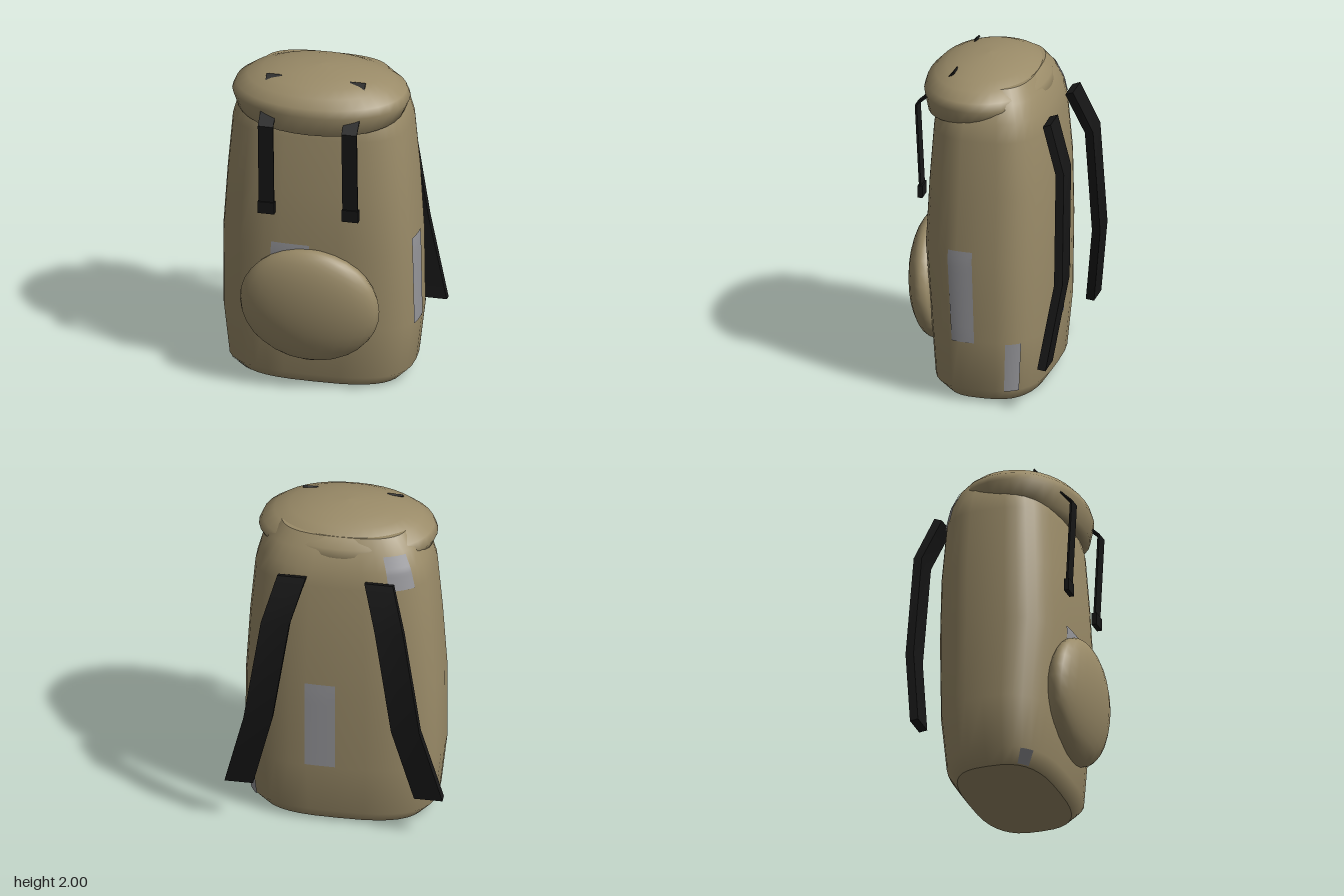
import * as THREE from 'three';
import { toCreasedNormals } from 'three/addons/utils/BufferGeometryUtils.js';

const CANVAS = 0x9a8b68, BLACK = 0x161616, GREY = 0x96969a;

// Surface from a grid of points; fn(row, column) returns [x, y, z].
function gridGeometry(rows, cols, closed, fn) {
  const pos = [], index = [];
  for (let i = 0; i < rows; i++) for (let j = 0; j < cols; j++) pos.push(...fn(i, j));
  for (let i = 0; i < rows - 1; i++) {
    for (let j = 0; j < (closed ? cols : cols - 1); j++) {
      const a = i * cols + j, b = i * cols + (j + 1) % cols;
      index.push(a, a + cols, b, b, a + cols, b + cols);
    }
  }
  const g = new THREE.BufferGeometry();
  g.setAttribute('position', new THREE.Float32BufferAttribute(pos, 3));
  g.setIndex(index);
  g.computeVertexNormals();
  return g;
}

function addMesh(group, name, geometry, color) {
  const mesh = new THREE.Mesh(geometry, new THREE.MeshStandardMaterial({ color, side: THREE.DoubleSide }));
  mesh.name = name;
  group.add(mesh);
  return mesh;
}

// Rounded-rectangle (superellipse) outline; angle 0 is +x, 90 degrees is +z.
function outline(t, n) {
  const f = (v) => Math.sign(v) * Math.abs(v) ** (2 / n);
  return [f(Math.cos(t)), f(Math.sin(t))];
}

// Body sections: height, half width, front z, back z.
const BODY = [
  [0, 0.48, 0.26, -0.30], [0.08, 0.555, 0.33, -0.355], [0.4, 0.59, 0.35, -0.385],
  [0.9, 0.585, 0.39, -0.395], [1.3, 0.56, 0.37, -0.39], [1.64, 0.53, 0.345, -0.362],
  [1.75, 0.5, 0.32, -0.34], [1.85, 0.45, 0.28, -0.295], [1.925, 0.38, 0.22, -0.24],
];

function bodyPoint(t, y, offset = 0) {
  let k = 0;
  while (k < BODY.length - 2 && y > BODY[k + 1][0]) k++;
  const a = BODY[k], b = BODY[k + 1], f = (y - a[0]) / (b[0] - a[0]);
  const [hx, zf, zb] = [1, 2, 3].map((i) => a[i] + (b[i] - a[i]) * f);
  const [x, z] = outline(t, 2.9);
  return [x * (hx + offset), y, (zf + zb) / 2 + z * ((zf - zb) / 2 + offset)];
}

// Flat strap swept along points [x, y, z], with closed ends.
function strapGeometry(path, width, thickness) {
  const corners = [[1, 1], [1, -1], [-1, -1], [-1, 1]];
  const last = path.length - 1;
  const g = gridGeometry(path.length + 2, 4, true, (i, j) => {
    const k = Math.min(Math.max(i - 1, 0), last);
    const p = path[k];
    if (i === 0 || i === last + 2) return p;
    const a = path[Math.max(k - 1, 0)], b = path[Math.min(k + 1, last)];
    const dy = b[1] - a[1], dz = b[2] - a[2], l = Math.hypot(dy, dz);
    const [u, v] = corners[j];
    const h = v * thickness / 2;
    return [p[0] + u * width / 2, p[1] + h * dz / l, p[2] - h * dy / l];
  });
  return toCreasedNormals(g, 0.6);
}

export function createModel() {
  const model = new THREE.Group();
  model.name = 'backpack';
  const N = 36;
  const turn = (j) => j / N * Math.PI * 2;

  // Main bag with flat bottom and top
  addMesh(model, 'body', gridGeometry(BODY.length, N, true, (i, j) => bodyPoint(turn(j), BODY[i][0])), CANVAS);
  for (const [name, y] of [['bodyBottom', 0], ['bodyTop', 1.925]]) {
    addMesh(model, name, gridGeometry(2, N, true, (i, j) =>
      (i === (y ? 0 : 1) ? bodyPoint(turn(j), y) : [0, y, -0.01])), CANVAS);
  }

  // Domed lid, hanging lower at the front: height, scale
  const LID = [
    [1.73, 0], [1.725, 0.82], [1.745, 0.94], [1.82, 1], [1.87, 0.96],
    [1.92, 0.83], [1.955, 0.66], [1.98, 0.46], [1.995, 0.24], [2, 0],
  ];
  addMesh(model, 'lid', gridGeometry(LID.length, N, true, (i, j) => {
    const [y, s] = LID[i];
    const [x, z] = outline(turn(j), 2.1);
    const droop = y < 1.8 ? 0.05 * z * s : 0;
    return [x * s * 0.53, y - droop, 0.06 + z * s * 0.37];
  }), CANVAS);

  // Round front pocket
  const pocket = addMesh(model, 'frontPocket', new THREE.SphereGeometry(1, 24, 16), CANVAS);
  pocket.scale.set(0.42, 0.375, 0.142);
  pocket.position.set(0, 0.565, 0.373);
  pocket.rotation.x = 0.09;

  for (const s of [1, -1]) {
    const side = s > 0 ? 'left' : 'right';

    // Lid strap and buckle
    const lidPath = [[1.97, 0.2], [1.8, 0.365], [1.74, 0.432], [1.2, 0.405]];
    addMesh(model, side + 'LidStrap',
      strapGeometry(lidPath.map(([y, z]) => [s * 0.252, y, z]), 0.092, 0.012), BLACK);
    const buckle = addMesh(model, side + 'Buckle', new THREE.BoxGeometry(0.1, 0.075, 0.03), BLACK);
    buckle.position.set(s * 0.253, 1.195, 0.405);

    // Shoulder strap
    const shoulder = [[0.26, 1.71, -0.375], [0.34, 1.44, -0.475], [0.44, 0.78, -0.492], [0.565, 0.285, -0.422]];
    addMesh(model, side + 'ShoulderStrap',
      strapGeometry(shoulder.map(([x, y, z]) => [s * x, y, z]), 0.17, 0.05), BLACK);
  }

  // Patches that follow the body: start angle, end angle, bottom, top
  const PATCHES = {
    frontPatch: [90, 105, 0.39, 0.96],
    sidePatch: [0.7, 17, 0.39, 0.96],
    rearCornerPatch: [-34, -18, 0.08, 0.39],
    backPatch: [-90, -79.5, 0.41, 0.98],
    shoulderPatch: [218, 243, 1.64, 1.84],
    bottomCornerPatch: [137, 152, 0.005, 0.075],
  };
  for (const [name, [a0, a1, y0, y1]] of Object.entries(PATCHES)) {
    addMesh(model, name, gridGeometry(13, 9, false, (i, j) =>
      bodyPoint(THREE.MathUtils.degToRad(a0 + (a1 - a0) * j / 8), y0 + (y1 - y0) * i / 12, 0.005)), GREY);
  }
  return model;
}
